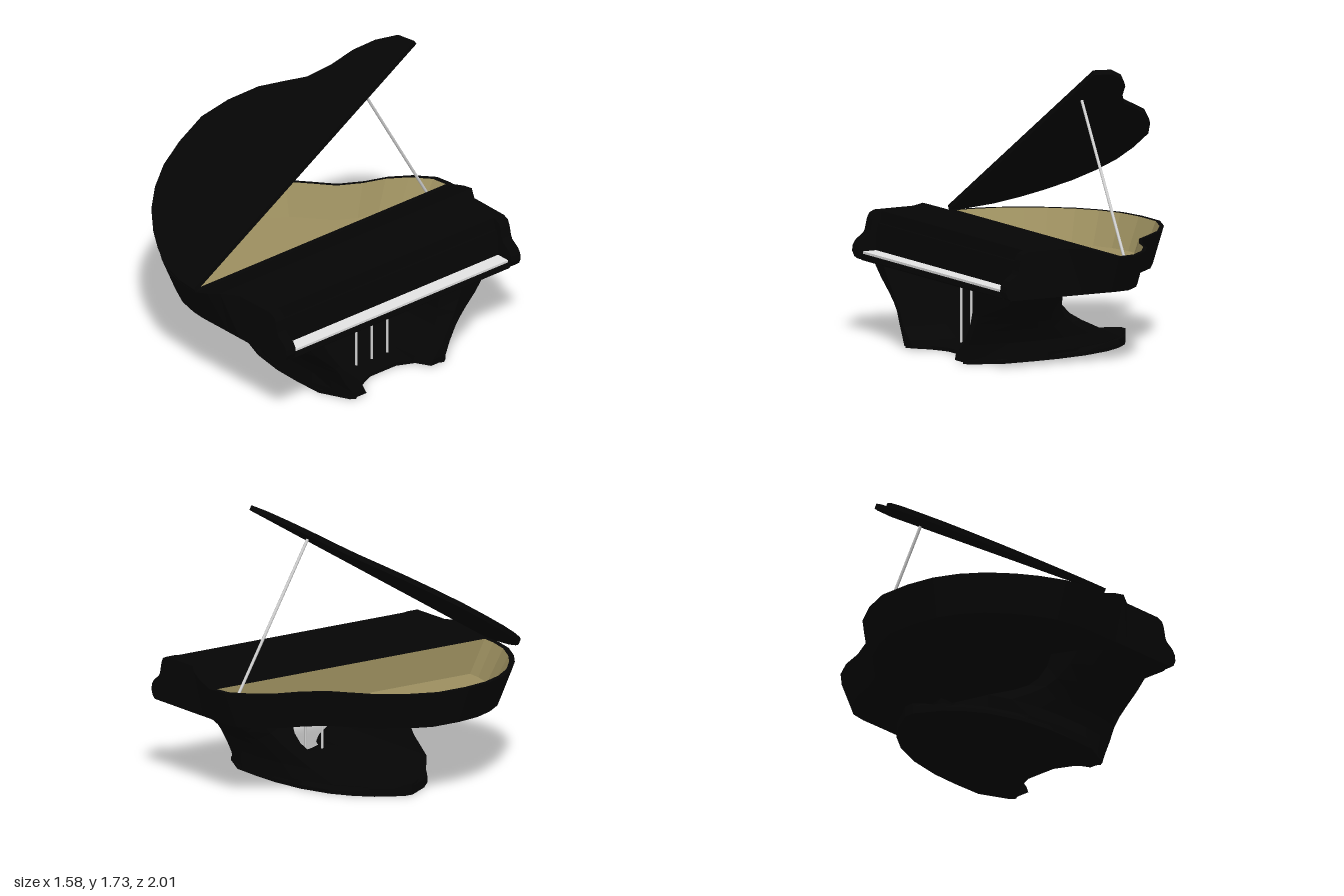
import * as THREE from 'three';

const mat = (name, color) => new THREE.MeshStandardMaterial({ name, color, side: THREE.DoubleSide });

// Faceted surface through rows of [x, y, z] points
function loft(rows, closed = false) {
  const pos = [];
  for (let i = 0; i < rows.length - 1; i++) {
    const a = rows[i], b = rows[i + 1], n = a.length;
    for (let j = 0; j < (closed ? n : n - 1); j++) {
      const k = (j + 1) % n;
      pos.push(...a[j], ...b[j], ...b[k], ...a[j], ...b[k], ...a[k]);
    }
  }
  const g = new THREE.BufferGeometry();
  g.setAttribute('position', new THREE.Float32BufferAttribute(pos, 3));
  g.computeVertexNormals();
  return g;
}

const shapeOf = pts => new THREE.Shape(pts.map(p => new THREE.Vector2(p[0], p[1])));

// Flat horizontal plate from [x, z] points
function plate(pts, y) {
  return new THREE.ShapeGeometry(shapeOf(pts)).rotateX(Math.PI / 2).translate(0, y, 0);
}

export function createModel() {
  const group = new THREE.Group();
  const black = mat('black lacquer', 0x050505);
  const gold = mat('gold interior', 0x9d9060);
  const white = mat('key white', 0xe4e4e4);
  const silver = mat('silver metal', 0xd4d4d4);
  const add = (name, geo, m) => {
    const mesh = new THREE.Mesh(geo, m);
    mesh.name = name;
    group.add(mesh);
    return mesh;
  };

  // Curved rim, [x, z], from the back of the opening round to its front
  const rim = [
    [0.05, -1], [-0.05, -0.985], [-0.16, -0.89], [-0.24, -0.77], [-0.29, -0.63], [-0.37, -0.49],
    [-0.48, -0.4], [-0.61, -0.29], [-0.72, -0.13], [-0.79, 0.04], [-0.79, 0.245], [-0.76, 0.415],
    [-0.695, 0.56], [-0.6, 0.69], [-0.47, 0.805], [-0.35, 0.885], [-0.2, 0.957], [-0.05, 0.992], [0.05, 1],
  ];
  // Symmetric keyboard end, [x, half width, top height]
  const stations = [[0.08, 1, 0.67], [0.18, 0.997, 0.702], [0.27, 0.975, 0.73], [0.37, 0.908, 0.73], [0.6, 0.905, 0.73]];

  // Case side, leaning in towards the bottom
  const back = stations.map(([x, w, y]) => [x, y, -w]).reverse();
  const front = stations.map(([x, w, y]) => [x, y, w]);
  const top = [...back, ...rim.map(([x, z]) => [x, 0.67, z]), ...front];
  const bottom = top.map(([x, , z]) => [
    x < 0 ? x * 0.905 : x, 0.45,
    x < 0.15 ? z * 0.908 : THREE.MathUtils.clamp(z, -0.907, 0.907),
  ]);
  add('caseSide', loft([top, bottom], true), black);
  add('caseBottom', plate(bottom.map(p => [p[0], p[2]]), 0.45), black);

  // Fixed top in front of the opening
  const across = [[0.05, 1, 0.67], ...stations].map(([x, w, y]) => [[x, y, w], [x, y, -w]]);
  add('caseTop', loft(across), black);

  // Rim edge and open interior
  const inset = ([x, , z], y, s) => [0.05 + (x - 0.05) * s, y, z * s];
  const n = back.length;
  const outer = top.slice(n, n + rim.length);
  const innerTop = outer.map(p => inset(p, 0.67, 0.965));
  const innerLow = bottom.slice(n, n + rim.length).map(p => inset(p, 0.475, 0.947));
  const last = rim.length - 1;
  add('rimEdge', loft([outer, innerTop]), black);
  add('interiorWall', loft([innerTop, innerLow]), gold);
  add('interiorFloor', plate(innerLow.map(p => [p[0], p[2]]), 0.475), gold);
  add('interiorFrontWall', loft([[innerTop[0], innerTop[last]], [innerLow[0], innerLow[last]]]), gold);

  // Cheeks, fallboard and key bed, extruded across z
  const extrudeZ = (name, profile, z, depth) => add(name,
    new THREE.ExtrudeGeometry(shapeOf(profile), { depth, bevelEnabled: false }).translate(0, 0, z), black);
  const cheek = [
    [0.595, 0.45], [0.75, 0.45], [0.77, 0.465], [0.785, 0.5], [0.78, 0.535], [0.76, 0.565], [0.71, 0.6],
    [0.7, 0.62], [0.685, 0.685], [0.67, 0.715], [0.635, 0.73], [0.595, 0.73],
  ];
  extrudeZ('leftCheek', cheek, 0.835, 0.07);
  extrudeZ('rightCheek', cheek, -0.905, 0.07);
  extrudeZ('fallboard', [[0.595, 0.46], [0.664, 0.46], [0.664, 0.6], [0.65, 0.66], [0.635, 0.66], [0.625, 0.73], [0.595, 0.73]], -0.835, 1.67);
  extrudeZ('keyBed', [[0.595, 0.45], [0.76, 0.45], [0.77, 0.46], [0.77, 0.487], [0.595, 0.487]], -0.835, 1.67);
  add('keys', new THREE.BoxGeometry(0.09, 0.014, 1.67).translate(0.708, 0.494, 0), white);

  // Raised lid, hinged along the front side
  const lidPts = [[0.08, -1], ...rim.slice(1, -1), [0.08, 1]].map(([x, z]) => [x, 0.98 - z]);
  const lid = add('lid', new THREE.ExtrudeGeometry(shapeOf(lidPts), { depth: 0.03, bevelEnabled: false }), black);
  lid.rotation.x = THREE.MathUtils.degToRad(-58.7);
  lid.position.set(0, 0.678, 0.98);

  // Thin metal rods
  const rod = (name, a, b, r) => {
    const from = new THREE.Vector3(...a), to = new THREE.Vector3(...b);
    const dir = to.clone().sub(from);
    const mesh = add(name, new THREE.CylinderGeometry(r, r, dir.length(), 8), silver);
    mesh.position.copy(from).add(to).multiplyScalar(0.5);
    mesh.quaternion.setFromUnitVectors(new THREE.Vector3(0, 1, 0), dir.normalize());
  };
  rod('lidProp', [-0.03, 0.58, -0.905], [-0.03, 1.51, -0.365], 0.009);
  for (const z of [-0.12, 0, 0.12]) rod('pedalRod', [0.5, 0.025, z], [0.5, 0.455, z], 0.008);

  // Flared pedestal legs, [y, back x, front x, left inner z, right inner z, outer z]
  const levels = [
    [0.01, -0.41, 0.75, 0.19, 0.17, 0.46], [0.05, -0.39, 0.752, 0.22, 0.19, 0.463],
    [0.12, -0.22, 0.743, 0.35, 0.29, 0.46], [0.2, -0.04, 0.74, 0.39, 0.345, 0.5],
    [0.25, 0.05, 0.74, 0.42, 0.365, 0.545], [0.3, 0.1, 0.742, 0.45, 0.37, 0.61],
    [0.38, 0.135, 0.747, 0.49, 0.37, 0.73], [0.455, 0.14, 0.752, 0.52, 0.365, 0.82],
  ];
  for (const [side, name] of [[1, 'leftLeg'], [-1, 'rightLeg']]) {
    const rows = levels.map(([y, xb, xf, zl, zr, zo]) => {
      const zi = side > 0 ? zl : zr, w = zo - zi, len = 0.47 - xb;
      return [
        [xb, zi], [0.47, zi], [0.65, zi + 0.06 * w], [xf, zi + 0.25 * w], [xf, zo - 0.4 * w],
        [0.64, zo - 0.15 * w], [0.5, zo], [xb + 0.75 * len, zo], [xb + 0.5 * len, zi + 0.87 * w], [xb + 0.2 * len, zi + 0.5 * w],
      ].map(([x, z]) => [x, y, side * z]);
    });
    add(name, loft(rows, true), black);
  }

  // Pedestal foot: pointed oval at the back, shallow hollow at the front, bevelled edge
  const half = [
    [-0.52, 0.03], [-0.49, 0.08], [-0.43, 0.18], [-0.34, 0.27], [-0.22, 0.35], [-0.03, 0.42], [0.18, 0.455],
    [0.35, 0.46], [0.55, 0.455], [0.73, 0.37], [0.75, 0.34], [0.72, 0.29], [0.65, 0.21], [0.6, 0.1],
  ];
  const foot = [...half, ...half.map(([x, z]) => [x, -z]).reverse()];
  const footTop = foot.map(([x, z]) => [Math.min(x, 0.485), z * 0.97]);
  add('footEdge', loft([
    foot.map(([x, z]) => [x, 0, z]),
    foot.map(([x, z]) => [x, 0.022, z]),
    footTop.map(([x, z]) => [x, 0.047, z]),
  ], true), black);
  add('footBottom', plate(foot, 0), black);
  const deck = footTop.filter(([x]) => x < 0.48);
  const pairs = deck.length / 2;
  const deckRows = deck.slice(0, pairs).map(([x, z]) => [[x, 0.047, z], [x, 0.05, 0], [x, 0.047, -z]]);
  add('footTop', loft([...deckRows, [[0.485, 0.047, 0.44], [0.485, 0.047, 0], [0.485, 0.047, -0.44]]]), black);

  // Raised tail of the foot
  const tail = [[-0.52, 0.065, 0.03], [-0.49, 0.062, 0.08], [-0.39, 0.049, 0.19]];
  add('footTail', loft(tail.map(([x, y, z]) => [[x, 0.045, z], [x, y, z * 0.9], [x, y, -z * 0.9], [x, 0.045, -z]])), black);
  add('footTailEnd', loft([
    [[-0.52, 0.065, 0.027], [-0.52, 0.065, -0.027]], [[-0.52, 0.045, 0.03], [-0.52, 0.045, -0.03]],
  ]), black);

  return group;
}
